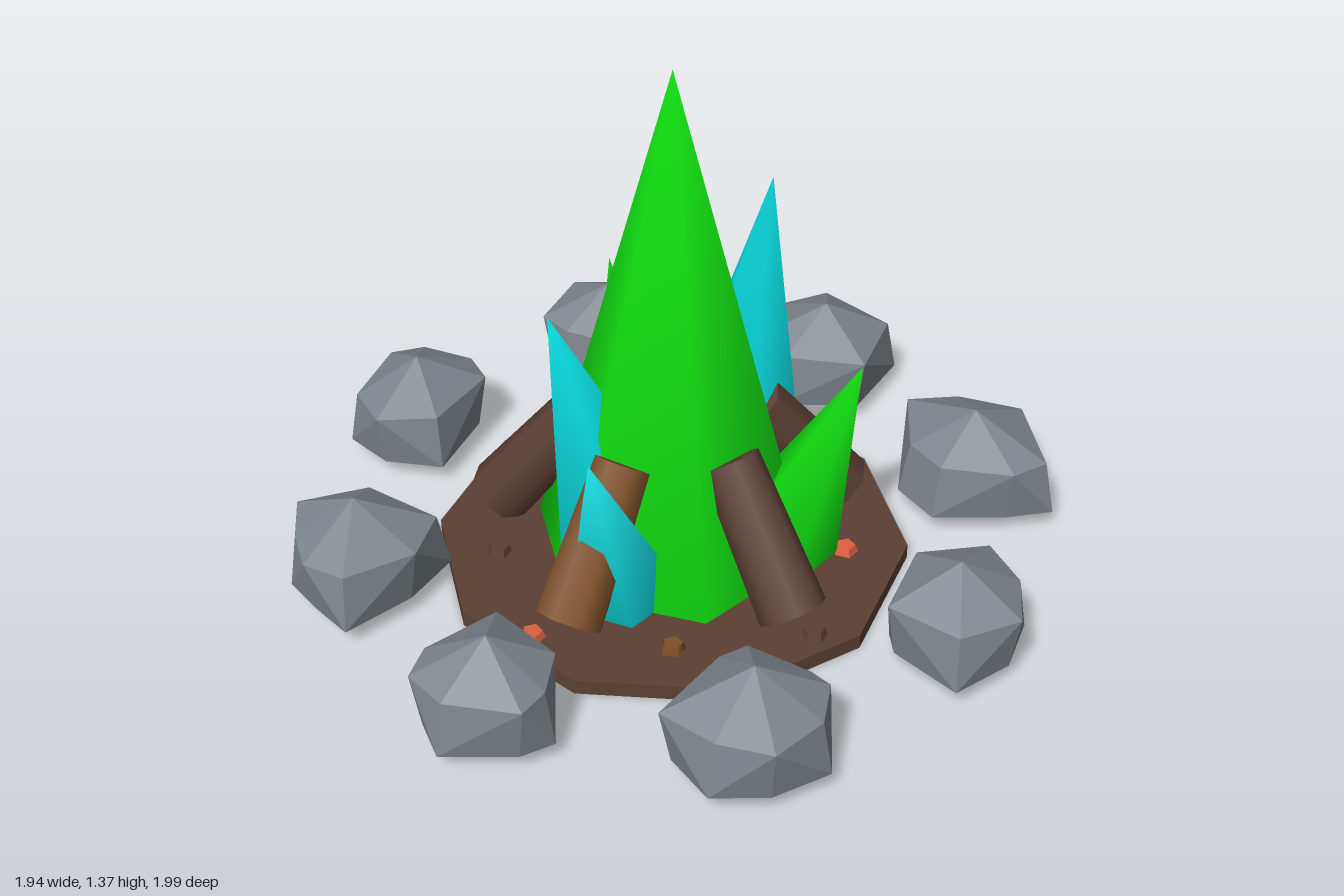
import * as THREE from 'three';
import { mergeVertices } from 'three/addons/utils/BufferGeometryUtils.js';
import { ConvexGeometry } from 'three/addons/geometries/ConvexGeometry.js';

const material = (name, color, flatShading = false) => {
  const m = new THREE.MeshStandardMaterial({ color, flatShading });
  m.name = name;
  return m;
};

// Outline of each stone seen from above, as x,z pairs in hundredths around its centre
const STONES = [
  [-19, -2, -11, -21, 3, -22, 17, -10, 17, 16, 5, 17, -14, 11],
  [-6, -19, 13, -15, 18, -1, 11, 13, -6, 18, -18, 1, -15, -5],
  [-5, -17, 3, -17, 17, -6, 18, 0, 15, 13, 0, 19, -14, 14, -22, 0],
  [6, -21, 16, -1, 13, 13, 5, 17, -14, 11, -18, -1, -15, -11],
  [23, 0, 13, 13, -6, 21, -14, 11, -17, 0, -13, -14, 6, -18],
  [-6, -20, 4, -18, 18, -11, 18, 0, 3, 18, -13, 13, -19, 0],
  [-7, -20, 17, -12, 17, 0, 6, 21, -15, 8, -18, -2],
  [-9, -19, 6, -19, 21, 0, 6, 18, -16, 11, -22, 0],
];

export function createModel() {
  const group = new THREE.Group();
  const earth = material('earth brown', 0x5c4033, true);
  const darkWood = material('dark wood', 0x5c4035);
  const lightWood = material('light wood', 0x7d4f29);
  const green = material('green flame', 0x11dd11);
  const teal = material('teal flame', 0x08d3d8);
  const stone = material('grey stone', 0x7d858c, true);
  const ember = material('ember orange', 0xdd6040, true);

  const add = (name, geometry, mat) => {
    const mesh = new THREE.Mesh(geometry, mat);
    mesh.name = name;
    group.add(mesh);
    return mesh;
  };
  // Place a y-aligned mesh so that its axis runs from one point to another
  const span = (mesh, from, to) => {
    mesh.position.copy(from).lerp(to, 0.5);
    mesh.quaternion.setFromUnitVectors(
      new THREE.Vector3(0, 1, 0), to.clone().sub(from).normalize());
  };

  // Earth disc
  add('groundDisc', new THREE.CylinderGeometry(0.6, 0.6, 0.04, 10), earth).position.y = 0.02;

  // Flames: pointed cones with soft shading across the whole surface
  const flame = (name, mat, radius, sides, base, tip) => {
    const from = new THREE.Vector3(...base), to = new THREE.Vector3(...tip);
    let g = new THREE.ConeGeometry(radius, from.distanceTo(to), sides);
    g.deleteAttribute('normal');
    g.deleteAttribute('uv');
    g = mergeVertices(g);
    g.computeVertexNormals();
    span(add(name, g, mat), from, to);
  };
  flame('mainFlame', green, 0.36, 6, [0, 0.04, 0], [0, 1.37, 0]);
  flame('tealFlameRight', teal, 0.23, 5, [0.14, 0.05, -0.07], [0.285, 0.97, -0.15]);
  flame('tealFlameLeft', teal, 0.2, 5, [-0.12, 0.05, 0.03], [-0.315, 0.79, 0.06]);
  flame('tealFlameFront', teal, 0.15, 5, [-0.18, 0.06, 0.19], [-0.275, 0.54, 0.32]);
  flame('greenFlameFront', green, 0.16, 5, [0.24, 0.05, 0.12], [0.405, 0.655, 0.24]);
  flame('greenFlameBack', green, 0.16, 5, [-0.04, 0.06, -0.2], [-0.065, 0.61, -0.44]);

  // Five logs leaning inwards
  const woods = [darkWood, darkWood, lightWood, darkWood, lightWood];
  woods.forEach((wood, i) => {
    const a = THREE.MathUtils.degToRad(-8 + i * 72);
    const at = (r, y) => new THREE.Vector3(Math.cos(a) * r, y, Math.sin(a) * r);
    const log = add('log' + (i + 1), new THREE.CylinderGeometry(0.075, 0.087, 0.4, 8), wood);
    span(log, at(0.46, 0.085), at(0.22, 0.4));
  });

  // Ring of eight rough stones
  STONES.forEach((outline, i) => {
    const a = i * Math.PI / 4;
    const points = [new THREE.Vector3(0, 0.295, 0), new THREE.Vector3(0, 0.01, 0)];
    for (let k = 0; k < outline.length; k += 2) {
      const [x, z] = [outline[k] / 100, outline[k + 1] / 100];
      const upper = (k / 2) % 2 === 1;
      points.push(new THREE.Vector3(x, upper ? 0.2 : 0.055, z));
      // Inner corner on the opposite level keeps the sides steep
      points.push(new THREE.Vector3(x * 0.87, upper ? 0.05 : 0.2, z * 0.87));
    }
    add('stone' + (i + 1), new ConvexGeometry(points), stone)
      .position.set(Math.cos(a) * 0.8, 0, Math.sin(a) * 0.8);
  });

  // Embers and chips scattered on the earth
  const chips = [
    [-0.06, -0.45, ember], [0.41, 0.17, ember], [-0.42, 0.31, ember],
    [-0.38, -0.36, lightWood], [-0.1, 0.43, lightWood],
    [0.285, -0.44, earth], [-0.445, -0.025, earth], [0.245, 0.46, earth],
  ];
  chips.forEach(([x, z, mat], i) => {
    const chip = add('ember' + (i + 1), new THREE.CylinderGeometry(0.025, 0.036, 0.03, 5), mat);
    chip.position.set(x, 0.045, z);
    chip.rotation.y = i * 1.3;
  });

  return group;
}
